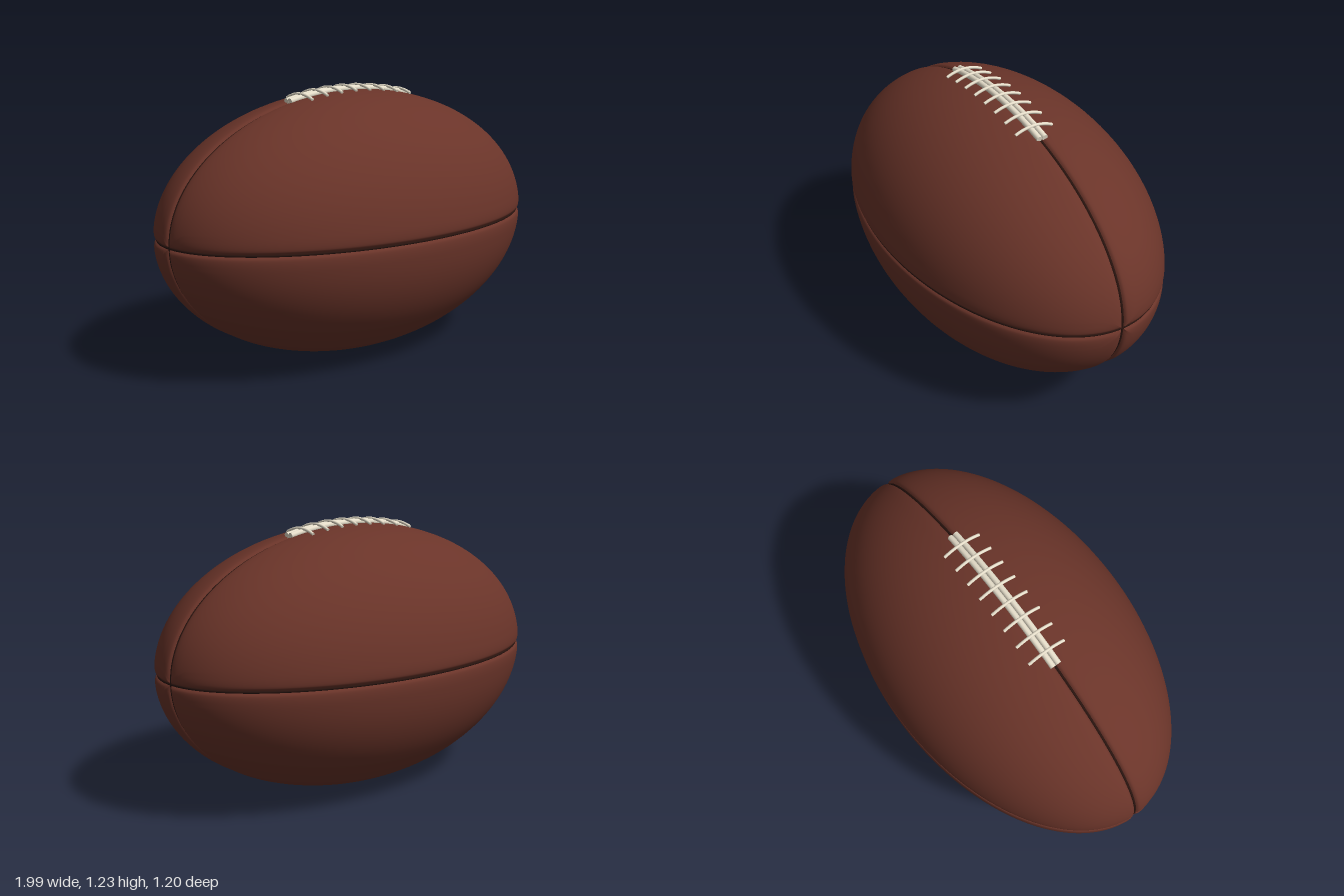
import * as THREE from 'three';

const R = 0.604;          // radius at the waist, half length is 1
const leather = new THREE.MeshStandardMaterial({ color: 0x6a3429 });
leather.name = 'brown leather';
const seamDark = new THREE.MeshStandardMaterial({ color: 0x28130e });
seamDark.name = 'dark seam';
const cream = new THREE.MeshStandardMaterial({ color: 0xe8e0cc });
cream.name = 'cream lace';

// Groove depth at a distance s from the seam line
const groove = s => 0.014 * Math.exp(-((s / 0.009) ** 2)) + 0.005 * Math.exp(-((s / 0.028) ** 2));

// Point on the ball, sunk by depth along the surface normal
function ballPoint(t, phi, depth) {
  const n = new THREE.Vector2(-Math.cos(t) * R, Math.sin(t)).normalize();
  const r = R * Math.sin(t) - n.y * depth;
  return new THREE.Vector3(-Math.cos(t) - n.x * depth, R + r * Math.cos(phi), r * Math.sin(phi));
}

// Quarter panel between two seams, with rows packed towards its edges
function panelGeometry(start) {
  const near = [0, 0.003, 0.006, 0.009, 0.013, 0.018, 0.025, 0.035, 0.05, 0.07];
  const mid = 10, rows = 112, half = Math.PI / 4;
  const pos = [], index = [];
  let cols = 0;
  for (let i = 0; i <= rows; i++) {
    const t = Math.PI * i / rows;
    const r = Math.max(R * Math.sin(t), 1e-5);
    const offs = near.map(s => Math.min(s / r, half * 0.8 * s / 0.07));
    const last = offs[offs.length - 1];
    for (let k = 1; k <= mid; k++) offs.push(last + (half - last) * k / mid);
    const angles = [...offs, ...offs.slice(0, -1).reverse().map(o => 2 * half - o)];
    cols = angles.length;
    for (const a of angles) {
      const s = r * Math.min(a, 2 * half - a);
      pos.push(...ballPoint(t, start + a, groove(s)).toArray());
    }
  }
  for (let i = 0; i < rows; i++) for (let j = 0; j < cols - 1; j++) {
    const a = i * cols + j, b = a + 1, c = a + cols, d = c + 1;
    index.push(a, b, c, b, d, c);
  }
  const g = new THREE.BufferGeometry();
  g.setAttribute('position', new THREE.Float32BufferAttribute(pos, 3));
  g.setIndex(index);
  g.computeVertexNormals();
  return g;
}

// Height of the ball's upper surface
const surfaceY = (x, z) => R + Math.sqrt(R * R * (1 - x * x) - z * z);

// Round cord with flat closed ends
function cord(name, points, radius, segments) {
  const curve = new THREE.CatmullRomCurve3(points);
  const group = new THREE.Group();
  group.name = name;
  const body = new THREE.Mesh(new THREE.TubeGeometry(curve, segments, radius, 12), cream);
  body.name = name + 'Body';
  group.add(body);
  for (const u of [0, 1]) {
    const cap = new THREE.Mesh(new THREE.CircleGeometry(radius, 12), cream);
    cap.name = name + 'End';
    const out = curve.getTangent(u).multiplyScalar(u ? 1 : -1);
    cap.position.copy(curve.getPoint(u));
    cap.quaternion.setFromUnitVectors(new THREE.Vector3(0, 0, 1), out);
    group.add(cap);
  }
  return group;
}

export function createModel() {
  const ball = new THREE.Group();
  ball.name = 'ball';

  // Four leather panels
  for (let q = 0; q < 4; q++) {
    const panel = new THREE.Mesh(panelGeometry(q * Math.PI / 2), leather);
    panel.name = 'panel';
    ball.add(panel);
  }

  // Dark piping at the bottom of the grooves, upright and level loops
  for (const phi of [0, Math.PI / 2]) {
    const pts = [];
    for (let i = 0; i < 80; i++) {
      const t = 2 * Math.PI * i / 80;
      const p = ballPoint(t <= Math.PI ? t : 2 * Math.PI - t, t <= Math.PI ? phi : phi + Math.PI, 0.016);
      pts.push(p);
    }
    const loop = new THREE.CatmullRomCurve3(pts, true);
    const seam = new THREE.Mesh(new THREE.TubeGeometry(loop, 200, 0.006, 8, true), seamDark);
    seam.name = 'seam';
    ball.add(seam);
  }

  // Lacing: two cords along the top seam
  const laces = new THREE.Group();
  laces.name = 'laces';
  for (const side of [-1, 1]) {
    const pts = [];
    for (let i = 0; i <= 12; i++) {
      const x = -0.365 + 0.73 * i / 12;
      pts.push(new THREE.Vector3(x, surfaceY(x, 0) + 0.003, side * 0.0135));
    }
    laces.add(cord('longLace', pts, 0.0135, 40));
  }

  // Eight cross stitches arching over them
  for (let k = 0; k < 8; k++) {
    const x = (k - 3.5) * 0.0855;
    const pts = [];
    for (let i = 0; i <= 8; i++) {
      const z = -0.09 + 0.18 * i / 8;
      pts.push(new THREE.Vector3(x, surfaceY(x, z) + 0.004 + 0.014 * (1 - (z / 0.09) ** 2), z));
    }
    laces.add(cord('crossLace', pts, 0.0068, 20));
  }
  ball.add(laces);
  return ball;
}
